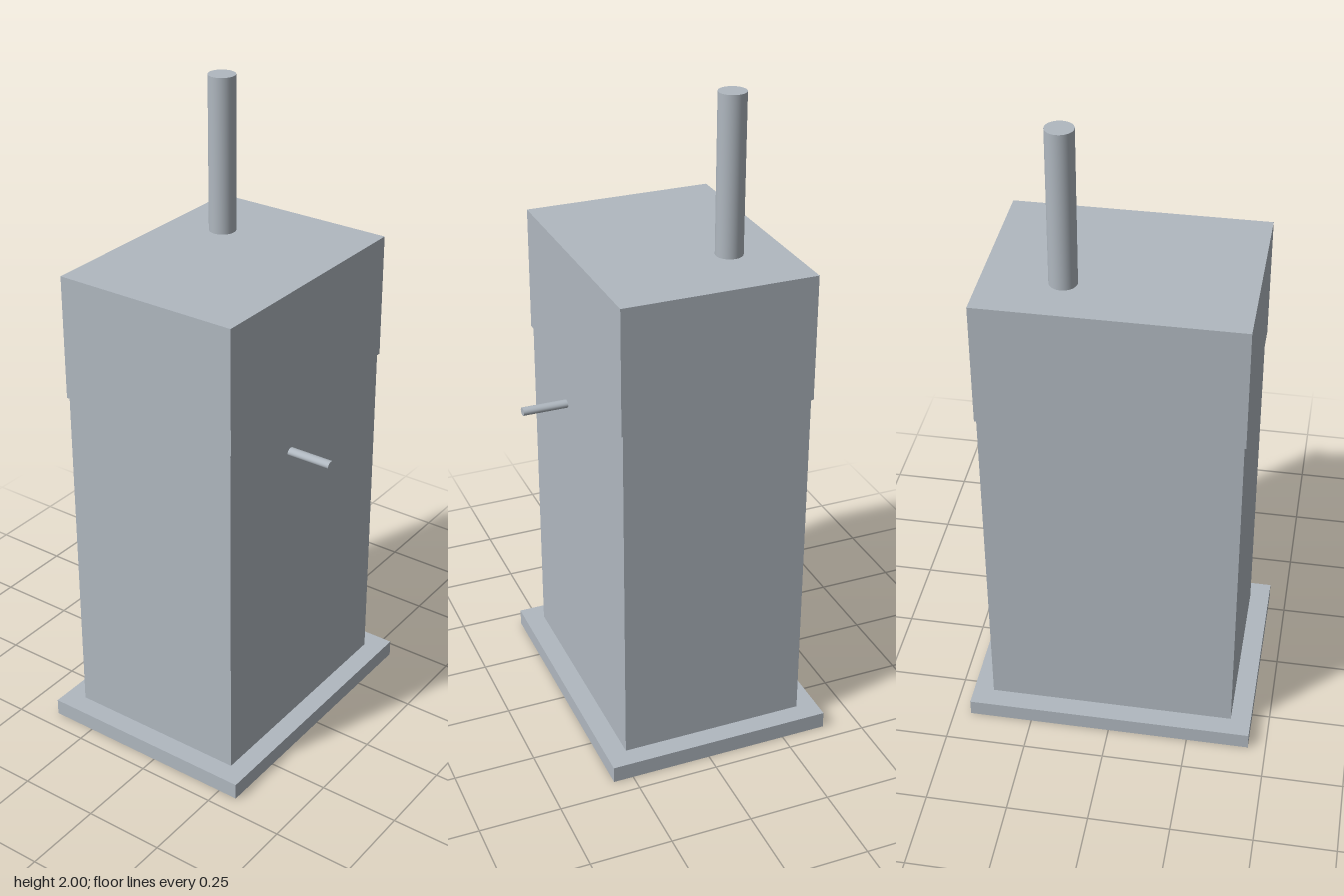
import * as THREE from 'three';

export function createModel() {
  const model = new THREE.Group();
  const grey = new THREE.MeshStandardMaterial({ color: 0xb0b8c0 });
  grey.name = 'light steel grey';

  const add = (name, geometry, x, y, z) => {
    const mesh = new THREE.Mesh(geometry, grey);
    mesh.name = name;
    mesh.position.set(x, y, z);
    model.add(mesh);
    return mesh;
  };

  // Box given by its width, depth and vertical extent, on the housing axis
  const axisX = -0.039;
  const block = (name, width, depth, y0, y1) =>
    add(name, new THREE.BoxGeometry(width, y1 - y0, depth), axisX, (y0 + y1) / 2, -0.001);

  block('basePlate', 0.702, 0.892, 0, 0.052);
  block('body', 0.576, 0.766, 0.052, 1.14);
  block('upperCasing', 0.587, 0.776, 1.14, 1.525);

  // Vertical pipe rising from the roof
  add('chimney', new THREE.CylinderGeometry(0.041, 0.041, 0.475, 32), -0.166, 1.7625, -0.155);

  // Slightly flattened rod sticking out of the left side
  const rodGeometry = new THREE.CylinderGeometry(0.0155, 0.0155, 0.148, 24);
  rodGeometry.rotateZ(Math.PI / 2).scale(1, 0.78, 1);
  add('sideRod', rodGeometry, 0.314, 1.014, 0.084);

  return model;
}
